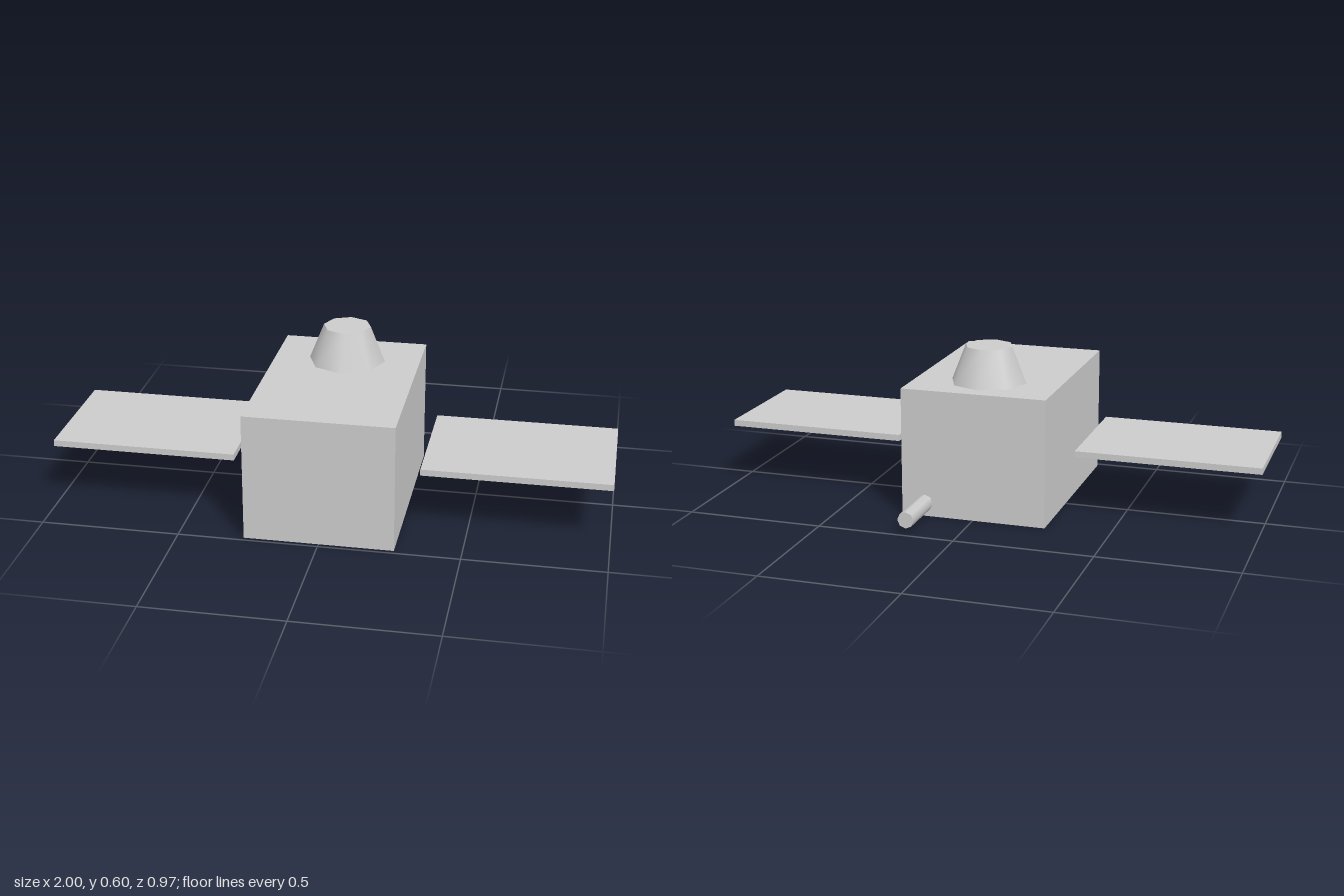
import * as THREE from 'three';

export function createModel() {
  const model = new THREE.Group();
  const material = new THREE.MeshStandardMaterial({ color: 0xcccccc });

  const add = (name, geometry, x, y, z) => {
    const mesh = new THREE.Mesh(geometry, material);
    mesh.name = name;
    mesh.position.set(x, y, z);
    model.add(mesh);
    return mesh;
  };

  // Main box, its back at z = -0.283
  add('body', new THREE.BoxGeometry(0.533, 0.467, 0.767), 0, 0.2335, 0.1);

  // Thin panels floating beside the body
  for (const [name, side] of [['leftPanel', 1], ['rightPanel', -1]]) {
    add(name, new THREE.BoxGeometry(0.667, 0.023, 0.467), side * 0.6665, 0.235, 0.1);
  }

  // Tapered eight-sided turret on the roof
  add('turret', new THREE.CylinderGeometry(0.087, 0.14, 0.133, 8), 0, 0.5335, -0.087);

  // Short pipe sticking out of the back, low on the left
  const pipe = add('exhaustPipe', new THREE.CylinderGeometry(0.03, 0.03, 0.2, 8), 0.18, 0.05, -0.383);
  pipe.rotation.x = Math.PI / 2;

  return model;
}
